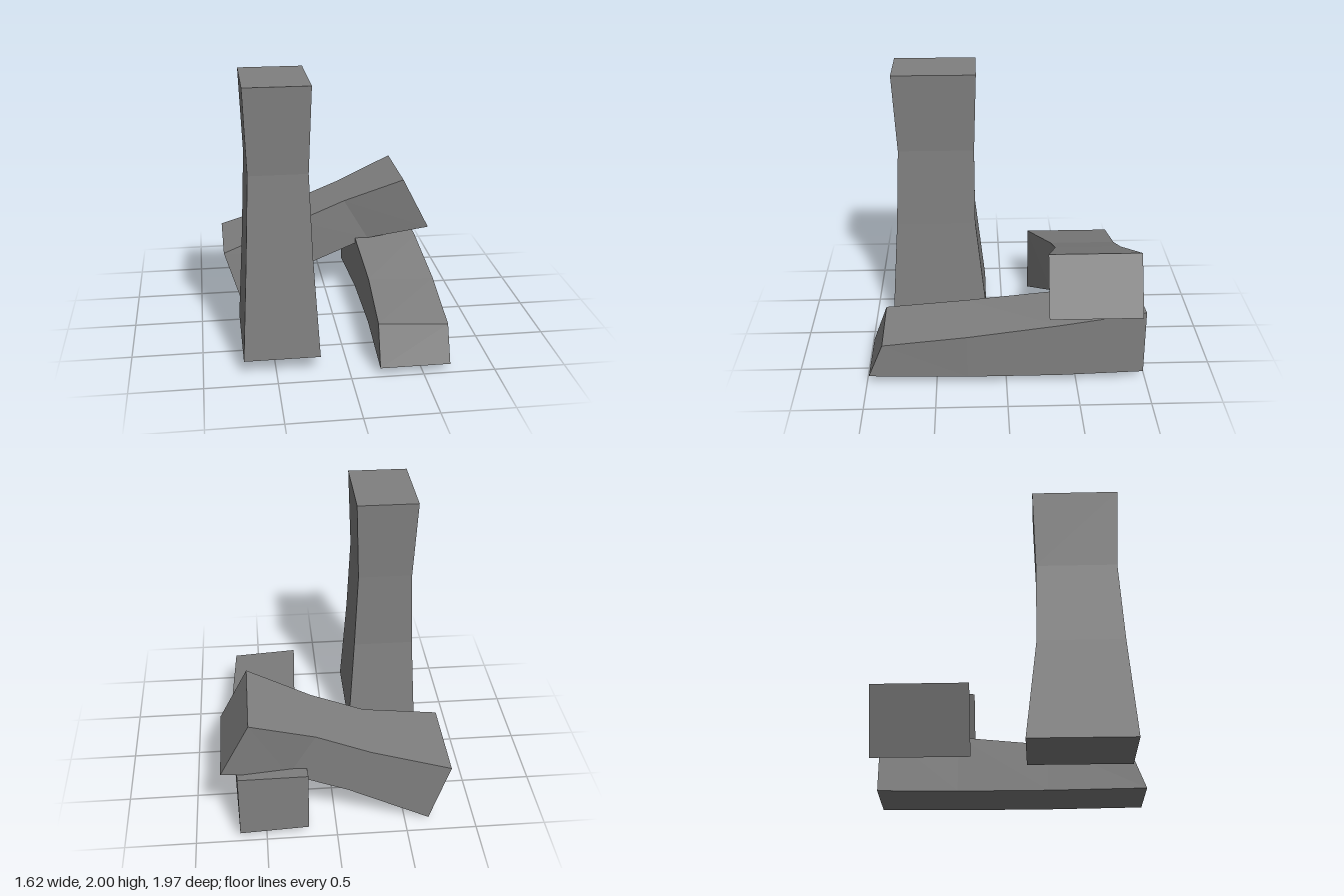
import * as THREE from 'three';

const grey = new THREE.MeshStandardMaterial({ color: 0x808080 });
grey.name = 'stone grey';

// Skins a row of four-cornered sections and caps both ends. Corners run
// counter-clockwise when seen from the far end of the beam.
function beam(name, sections) {
  const pos = [];
  const quad = (a, b, c, d) => pos.push(...a, ...b, ...c, ...a, ...c, ...d);
  for (let i = 0; i < sections.length - 1; i++) {
    const near = sections[i], far = sections[i + 1];
    for (let j = 0; j < 4; j++) {
      const k = (j + 1) % 4;
      quad(near[j], near[k], far[k], far[j]);
    }
  }
  const [a, b, c, d] = sections[0];
  quad(d, c, b, a);
  quad(...sections[sections.length - 1]);
  const geo = new THREE.BufferGeometry();
  geo.setAttribute('position', new THREE.Float32BufferAttribute(pos, 3));
  geo.computeVertexNormals();
  const mesh = new THREE.Mesh(geo, grey);
  mesh.name = name;
  return mesh;
}

export function createModel() {
  const group = new THREE.Group();
  group.name = 'threeBlocks';

  // Upright pillar: y, x range, z range
  const pillar = [
    [0.11, -0.722, -0.195, 0.13, 0.86],
    [0.82, -0.685, -0.238, 0.208, 0.808],
    [1.41, -0.66, -0.26, 0.21, 0.777],
    [2.0, -0.683, -0.238, 0.19, 0.805],
  ].map(([y, x0, x1, z0, z1]) => [[x0, y, z1], [x1, y, z1], [x1, y, z0], [x0, y, z0]]);
  group.add(beam('uprightPillar', pillar));

  // Lying block: x range, bottom z, then height and z of the left and right top corners
  const lying = [
    [0.2, 0.687, -0.96, -0.985, 0.53, -0.96, 0.55, -0.985],
    [0.23, 0.715, -0.38, -0.38, 0.475, -0.38, 0.475, -0.38],
    [0.23, 0.715, 0.28, 0.28, 0.41, 0.28, 0.39, 0.28],
    [0.2, 0.687, 0.985, 0.985, 0.345, 0.88, 0.315, 0.88],
  ].map(([x0, x1, zb0, zb1, y0, z0, y1, z1]) =>
    [[x0, 0.062, zb0], [x1, 0.062, zb1], [x1, y1, z1], [x0, y0, z0]]);
  group.add(beam('lyingBlock', lying));

  // Leaning block: top edge x, y, bottom edge x, y, then z range of top and bottom
  const leaning = [
    [-0.815, 0.46, -0.675, 0.005, -0.88, -0.23, -0.873, -0.223],
    [-0.24, 0.637, -0.09, 0.3, -0.867, -0.376, -0.862, -0.376],
    [0.14, 0.793, 0.33, 0.472, -0.862, -0.38, -0.862, -0.378],
    [0.595, 0.975, 0.8, 0.575, -0.945, -0.293, -0.945, -0.293],
  ].map(([xt, yt, xb, yb, t0, t1, b0, b1]) =>
    [[xb, yb, b1], [xb, yb, b0], [xt, yt, t0], [xt, yt, t1]]);
  group.add(beam('leaningBlock', leaning));

  return group;
}
